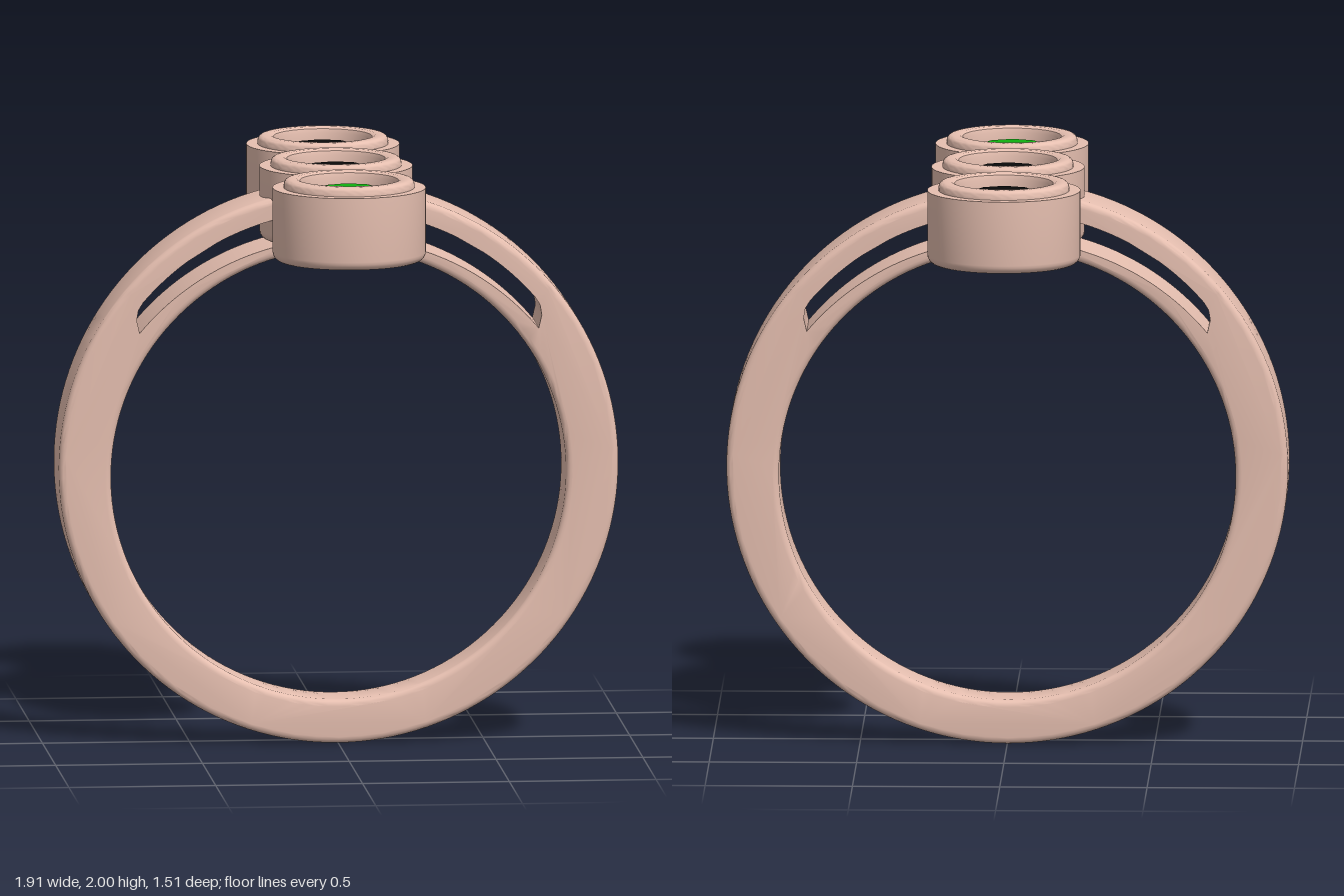
import * as THREE from 'three';
import { toCreasedNormals } from 'three/addons/utils/BufferGeometryUtils.js';
import { ConvexGeometry } from 'three/addons/geometries/ConvexGeometry.js';

const OUTER = { y: 0.953, r: 0.953 };   // outside of the band
const INNER = { y: 0.925, r: 0.775 };   // finger hole
const SLOT_TOP = { y: 0.953, r: 0.88 }; // upper edge of the shoulder slots
const SLOT_LOW = { y: 0.855, r: 0.884 };// lower edge of the shoulder slots
const FILLET = 0.022;

// Points on a circle, angles measured from the top towards +x
function arc(c, a0, a1, n) {
  return Array.from({ length: n + 1 }, (_, i) => {
    const a = a0 + (a1 - a0) * i / n;
    return new THREE.Vector2(c.r * Math.sin(a), c.y + c.r * Math.cos(a));
  });
}
const angleAt = (c, x) => Math.asin(x / c.r);
const heightAt = (c, x) => c.y + Math.sqrt(c.r * c.r - x * x);
const halfWidth = (y) => 0.1 + 0.016 * y;

// Band with slotted shoulders, open under the head, widening upwards
function bandGeometry() {
  const a = angleAt(OUTER, 0.21), b = angleAt(INNER, 0.17);
  const slot = [
    ...arc(SLOT_TOP, -angleAt(SLOT_TOP, 0.21), -0.861, 24),
    new THREE.Vector2(-0.684, 1.5), new THREE.Vector2(-0.69, 1.465),
    ...arc(SLOT_LOW, -0.877, -angleAt(SLOT_LOW, 0.17), 24),
  ];
  const mirrored = slot.map((p) => new THREE.Vector2(-p.x, p.y)).reverse();
  const shape = new THREE.Shape([
    ...arc(OUTER, a, 2 * Math.PI - a, 144), ...slot,
    ...arc(INNER, -b, b - 2 * Math.PI, 128), ...mirrored,
  ]);
  const geo = new THREE.ExtrudeGeometry(shape, { depth: 9, steps: 9, bevelEnabled: false });

  // Layers 0-4 and 5-9 become the rounded edges on either side
  const pos = geo.attributes.position;
  for (let i = 0; i < pos.count; i++) {
    const layer = Math.round(pos.getZ(i));
    const t = Math.min(layer, 9 - layer) / 4 * Math.PI / 2;
    const inset = FILLET * (1 - Math.sin(t));
    let x = pos.getX(i), y = pos.getY(i);
    const z = (layer < 5 ? -1 : 1) * (halfWidth(y) - FILLET * (1 - Math.cos(t)));
    const dOut = Math.hypot(x, y - OUTER.y), dIn = Math.hypot(x, y - INNER.y);
    if (dOut > OUTER.r - 0.008) {
      const k = 1 - inset / dOut;
      x *= k; y = OUTER.y + (y - OUTER.y) * k;
    } else if (dIn < INNER.r + 0.005) {
      const k = 1 + inset / dIn;
      x *= k; y = INNER.y + (y - INNER.y) * k;
    }
    pos.setXYZ(i, x, y, z);
  }
  return toCreasedNormals(geo, 0.6);
}

// Curved plate under the centre setting, pierced by a round hole
function bridgeGeometry() {
  const w = 0.175, d = 0.125, n = 20, pts = [];
  for (let i = 0; i <= n; i++) pts.push(new THREE.Vector2(-w + 2 * w * i / n, -d));
  for (let i = 0; i <= n; i++) pts.push(new THREE.Vector2(w - 2 * w * i / n, d));
  const shape = new THREE.Shape(pts);
  shape.holes.push(new THREE.Path().absarc(0, 0, 0.115, 0, Math.PI * 2, true));
  const geo = new THREE.ExtrudeGeometry(shape, { depth: 1, bevelEnabled: false, curveSegments: 48 });
  const pos = geo.attributes.position;
  for (let i = 0; i < pos.count; i++) {
    const x = pos.getX(i);
    const y = THREE.MathUtils.lerp(heightAt(INNER, x), heightAt(SLOT_LOW, x), pos.getZ(i));
    pos.setXYZ(i, x, y, -pos.getY(i));
  }
  return toCreasedNormals(geo, 0.6);
}

// Round cup with a stepped, rounded rim; core is the radius of its bottom hole
function settingGeometry(core) {
  const pts = [[core, 1.72]];
  for (let i = 0; i <= 5; i++) {
    const t = i / 5 * Math.PI / 2;
    pts.push([0.23 + 0.03 * Math.sin(t), 1.75 - 0.03 * Math.cos(t)]);
  }
  pts.push([0.26, 1.97], [0.222, 1.97]);
  for (let i = 0; i <= 4; i++) {
    const t = i / 4 * Math.PI / 2;
    pts.push([0.202 + 0.02 * Math.cos(t), 1.98 + 0.02 * Math.sin(t)]);
  }
  pts.push([0.178, 2], [0.167, 1.994], [0.163, 1.98], [0.163, 1.935], [0.195, 1.92], [0.115, 1.8]);
  pts.push(core > 0 ? [core, 1.72] : [0, 1.76]);
  const profile = pts.map(([r, y]) => new THREE.Vector2(r, y));
  return toCreasedNormals(new THREE.LatheGeometry(profile, 72), 0.6);
}

// Faceted round stone: table, crown, girdle and pavilion
function gemGeometry() {
  const pts = [new THREE.Vector3(0, 1.8, 0)];
  const ring = (n, r, y, turn) => {
    for (let i = 0; i < n; i++) {
      const a = (i + turn) / n * Math.PI * 2;
      pts.push(new THREE.Vector3(r * Math.cos(a), y, r * Math.sin(a)));
    }
  };
  ring(8, 0.1, 1.968, 0);
  ring(8, 0.145, 1.952, 0.5);
  ring(16, 0.18, 1.93, 0);
  ring(16, 0.18, 1.92, 0);
  return new ConvexGeometry(pts);
}

export function createModel() {
  const metal = new THREE.MeshStandardMaterial({ color: 0xe6bfb0 });
  const black = new THREE.MeshStandardMaterial({ color: 0x0a0a0a, flatShading: true });
  const green = new THREE.MeshStandardMaterial({ color: 0x0fb00f, flatShading: true });
  const model = new THREE.Group();
  model.name = 'ring';

  const add = (name, geometry, material, z = 0) => {
    const mesh = new THREE.Mesh(geometry, material);
    mesh.name = name;
    mesh.position.z = z;
    model.add(mesh);
  };

  add('band', bandGeometry(), metal);
  add('bridge', bridgeGeometry(), metal);

  // Three settings in a row from back to front
  const gem = gemGeometry();
  const heads = [['back', -0.496, 0, black], ['centre', 0, 0.115, black], ['front', 0.496, 0, green]];
  for (const [name, z, core, stone] of heads) {
    add(name + 'Setting', settingGeometry(core), metal, z);
    add(name + 'Gem', gem, stone, z);
  }
  return model;
}
